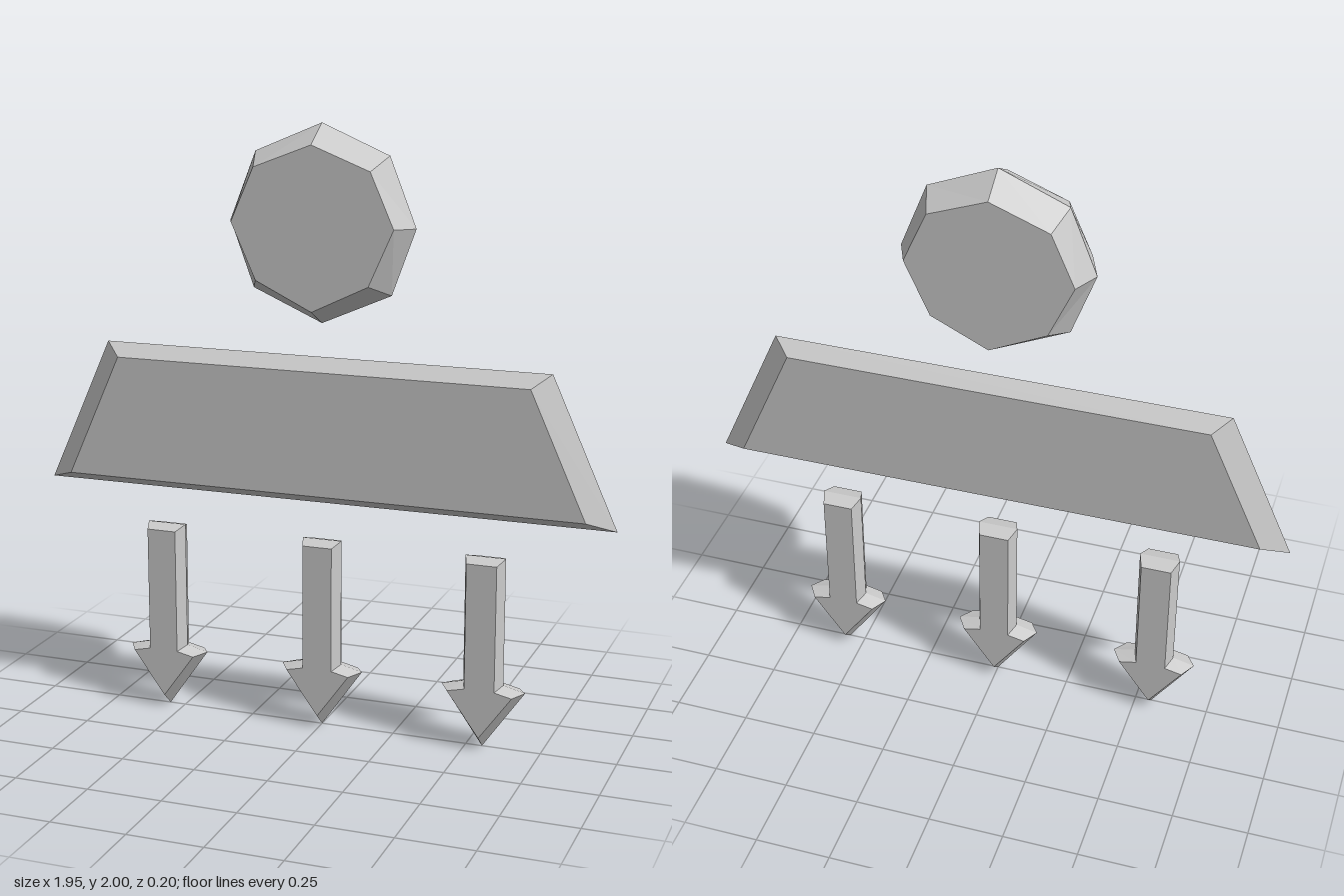
import * as THREE from 'three';

const material = new THREE.MeshStandardMaterial({ color: 0xcccccc, flatShading: true });

// Flat plate with a sharp rim: outer outline at z = 0, inset faces at z = +-depth.
// Both outlines run counter-clockwise as seen from the front.
function bevelledPlate(name, outer, inner, depth) {
  const pos = [];
  const put = (p, z) => pos.push(p[0], p[1], z);
  const caps = THREE.ShapeUtils.triangulateShape(inner.map(p => new THREE.Vector2(...p)), []);
  for (const [a, b, c] of caps) {
    [a, b, c].forEach(i => put(inner[i], depth));
    [c, b, a].forEach(i => put(inner[i], -depth));
  }
  outer.forEach((o, i) => {
    const j = (i + 1) % outer.length;
    const o2 = outer[j], n = inner[i], n2 = inner[j];
    // front bevel
    put(o, 0); put(o2, 0); put(n2, depth);
    put(o, 0); put(n2, depth); put(n, depth);
    // back bevel
    put(o2, 0); put(o, 0); put(n2, -depth);
    put(o, 0); put(n, -depth); put(n2, -depth);
  });
  const geometry = new THREE.BufferGeometry();
  geometry.setAttribute('position', new THREE.Float32BufferAttribute(pos, 3));
  geometry.computeVertexNormals();
  const mesh = new THREE.Mesh(geometry, material);
  mesh.name = name;
  return mesh;
}

// Completes a right-hand half outline (bottom to top) with its mirror image
function mirrored(half) {
  const left = half.filter(p => p[0] > 0).map(([x, y]) => [-x, y]).reverse();
  const top = half[half.length - 1];
  return top[0] === 0 ? [...half.slice(0, -1), top, ...left] : [...half, ...left];
}

export function createModel() {
  const model = new THREE.Group();
  model.name = 'signModel';

  // Eight-sided disc
  model.add(bevelledPlate('disc',
    mirrored([[0, 1.365], [0.233, 1.467], [0.312, 1.682], [0.224, 1.905], [0, 2]]),
    mirrored([[0, 1.417], [0.188, 1.508], [0.27, 1.69], [0.193, 1.865], [0, 1.94]]), 0.1));

  // Wide tapered bar
  model.add(bevelledPlate('taperedBar',
    mirrored([[0.975, 0.77], [0.757, 1.255]]),
    mirrored([[0.885, 0.802], [0.7, 1.213]]), 0.05));

  // Row of three downward arrows
  const arrowOuter = mirrored([[0, 0], [0.14, 0.2], [0.067, 0.218], [0.067, 0.645]]);
  const arrowInner = mirrored([[0, 0.045], [0.108, 0.195], [0.05, 0.208], [0.05, 0.631]]);
  [['rightArrow', -0.555], ['middleArrow', 0], ['leftArrow', 0.555]].forEach(([name, x]) => {
    const arrow = bevelledPlate(name, arrowOuter, arrowInner, 0.05);
    arrow.position.x = x;
    model.add(arrow);
  });

  return model;
}
